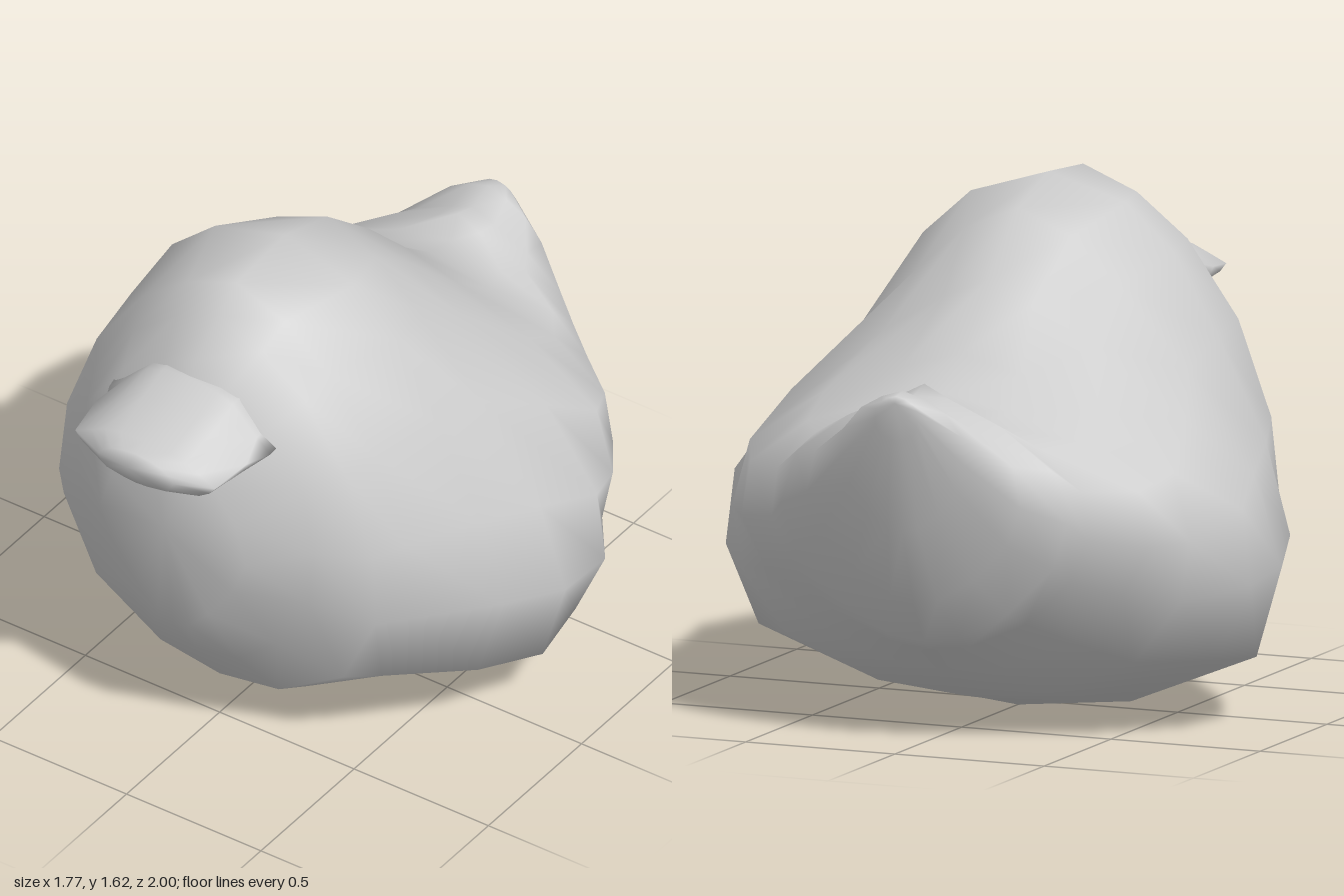
import * as THREE from 'three';

// Heights of the side points of a cross-section, as fractions from bottom to top
const LEVELS = [0.025, 0.135, 0.32, 0.5, 0.7, 0.86, 0.95];

// Smooth skin over mirrored cross-sections [z, bottom, top, ...halfWidths], front to back
function loft(sections, frontTip, backTip) {
  const points = [];
  const index = [];
  for (const [z, bottom, top, ...widths] of sections) {
    const side = widths.map((w, k) => [w, bottom + (top - bottom) * LEVELS[k]]);
    points.push(0, bottom, z);
    for (const [x, y] of side) points.push(x, y, z);
    points.push(0, top, z);
    for (const [x, y] of side.reverse()) points.push(-x, y, z);
  }
  const n = LEVELS.length * 2 + 2;
  const rows = sections.length;
  points.push(...frontTip, ...backTip);
  const front = rows * n;
  const last = (rows - 1) * n;
  for (let j = 0; j < n; j++) {
    const k = (j + 1) % n;
    index.push(front, j, k, front + 1, last + k, last + j);
    for (let i = 0; i < rows - 1; i++) {
      const a = i * n + j, b = i * n + k;
      index.push(a, a + n, b, b, a + n, b + n);
    }
  }
  const geometry = new THREE.BufferGeometry();
  geometry.setAttribute('position', new THREE.Float32BufferAttribute(points, 3));
  geometry.setIndex(index);
  geometry.computeVertexNormals();
  return geometry;
}

export function createModel() {
  const group = new THREE.Group();
  group.name = 'bird';
  const grey = new THREE.MeshStandardMaterial({ color: 0xcccccc });
  grey.name = 'plain grey';

  // Head and plump body, narrowing into a small upturned tail
  const bodySections = [
    [0.75, 0.5, 1.18, 0.06, 0.13, 0.22, 0.27, 0.23, 0.15, 0.08],
    [0.63, 0.33, 1.44, 0.16, 0.3, 0.42, 0.44, 0.4, 0.27, 0.12],
    [0.5, 0.15, 1.53, 0.22, 0.46, 0.58, 0.57, 0.47, 0.32, 0.16],
    [0.41, 0.12, 1.6, 0.26, 0.54, 0.66, 0.63, 0.52, 0.35, 0.18],
    [0.15, 0.045, 1.62, 0.36, 0.72, 0.81, 0.73, 0.57, 0.42, 0.26],
    [-0.08, 0, 1.545, 0.38, 0.8, 0.885, 0.79, 0.57, 0.34, 0.18],
    [-0.3, 0.055, 1.36, 0.36, 0.77, 0.88, 0.85, 0.66, 0.35, 0.15],
    [-0.5, 0.1, 1.16, 0.28, 0.58, 0.73, 0.77, 0.71, 0.46, 0.2],
    [-0.63, 0.2, 1.06, 0.2, 0.43, 0.6, 0.68, 0.65, 0.46, 0.22],
    [-0.74, 0.28, 1.035, 0.13, 0.32, 0.47, 0.53, 0.51, 0.38, 0.19],
    [-0.78, 0.31, 1.115, 0.12, 0.28, 0.43, 0.48, 0.43, 0.25, 0.08],
    [-0.86, 0.44, 1.09, 0.08, 0.2, 0.31, 0.36, 0.33, 0.2, 0.08],
    [-0.94, 0.68, 1.12, 0.05, 0.12, 0.18, 0.21, 0.2, 0.14, 0.07],
    [-0.99, 0.97, 1.11, 0.02, 0.05, 0.07, 0.07, 0.07, 0.05, 0.03],
  ];
  const body = new THREE.Mesh(loft(bodySections, [0, 0.9, 0.8], [0, 1.09, -1]), grey);
  body.name = 'body';
  group.add(body);

  // Broad flat beak, its root buried in the head
  const beakSections = [
    [0.95, 1.17, 1.28, 0.04, 0.11, 0.13, 0.14, 0.12, 0.09, 0.05],
    [0.9, 1.155, 1.3, 0.08, 0.2, 0.24, 0.26, 0.2, 0.15, 0.09],
    [0.76, 1.13, 1.355, 0.1, 0.22, 0.26, 0.28, 0.2, 0.16, 0.1],
    [0.66, 1.15, 1.39, 0.1, 0.21, 0.3, 0.25, 0.2, 0.16, 0.1],
    [0.56, 1.18, 1.4, 0.08, 0.18, 0.31, 0.25, 0.2, 0.16, 0.1],
  ];
  const beak = new THREE.Mesh(loft(beakSections, [0, 1.26, 1], [0, 1.28, 0.5]), grey);
  beak.name = 'beak';
  group.add(beak);
  return group;
}
